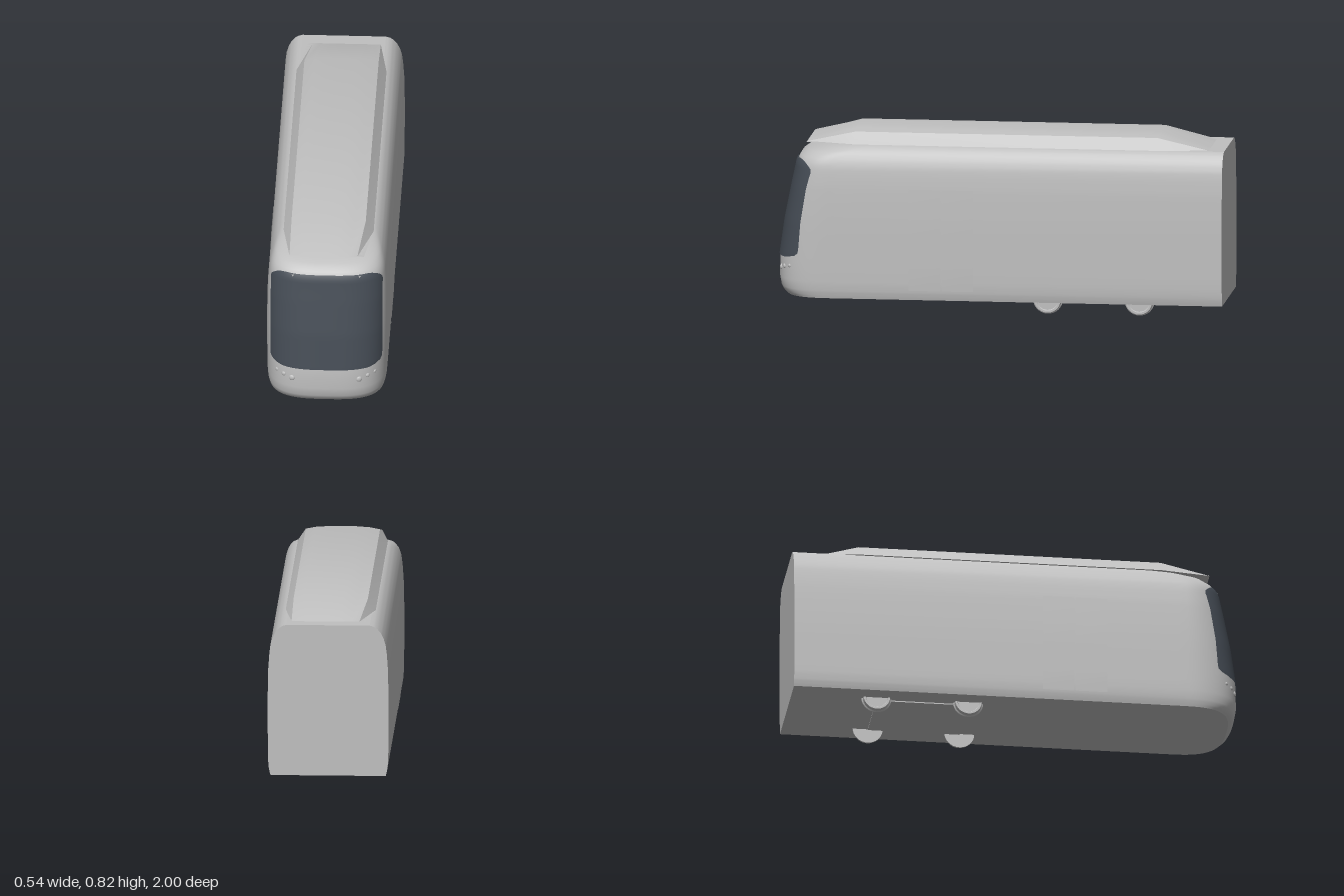
import * as THREE from 'three';
import { toCreasedNormals } from 'three/addons/utils/BufferGeometryUtils.js';

// Body profile by height: [y, half width, z of the nose]
const PROFILE = [
  [0.065, 0.256, 0.965], [0.08, 0.26, 0.982], [0.1, 0.264, 0.993], [0.14, 0.267, 1.0],
  [0.24, 0.268, 0.998], [0.4, 0.269, 0.975], [0.55, 0.266, 0.945], [0.62, 0.261, 0.93],
  [0.66, 0.256, 0.922], [0.69, 0.247, 0.905], [0.715, 0.235, 0.87], [0.735, 0.218, 0.8],
  [0.745, 0.203, 0.75], [0.75, 0.185, 0.7],
];
const NX = 3, NZ = 3.25; // exponents of the rounded nose plan

function levelAt(y) {
  let i = 0;
  while (i < PROFILE.length - 2 && y > PROFILE[i + 1][0]) i++;
  const a = PROFILE[i], b = PROFILE[i + 1], t = (y - a[0]) / (b[0] - a[0]);
  const w = THREE.MathUtils.lerp(a[1], b[1], t), f = THREE.MathUtils.lerp(a[2], b[2], t);
  return { w, f, z0: Math.min(0.72, f - 0.2) };
}

function noseZ(x, y) {
  const { w, f, z0 } = levelAt(y);
  return z0 + (f - z0) * Math.pow(Math.max(0, 1 - Math.pow(Math.abs(x) / w, NX)), 1 / NZ);
}

function noseNormal(x, y) {
  const e = 0.002;
  return new THREE.Vector3(
    -(noseZ(x + e, y) - noseZ(x - e, y)) / (2 * e),
    -(noseZ(x, y + e) - noseZ(x, y - e)) / (2 * e), 1).normalize();
}

function nosePoint(x, y, offset) {
  return new THREE.Vector3(x, y, noseZ(x, y)).addScaledVector(noseNormal(x, y), offset);
}

// Surface through rows of points; faces look along row direction x column direction
function loft(rows) {
  const n = rows[0].length, index = [];
  for (let r = 0; r < rows.length - 1; r++) {
    for (let c = 0; c < n - 1; c++) {
      const a = r * n + c;
      index.push(a, a + n, a + 1, a + 1, a + n, a + n + 1);
    }
  }
  const g = new THREE.BufferGeometry().setFromPoints(rows.flat());
  g.setIndex(index);
  g.computeVertexNormals();
  return g;
}

// Horizontal outline of the body at one height
function outline(y) {
  const { w, f, z0 } = levelAt(y), pts = [new THREE.Vector3(w, y, -1)];
  for (let i = 0; i <= 56; i++) {
    const a = (i / 56) * Math.PI, c = Math.cos(a), s = Math.max(0, Math.sin(a));
    pts.push(new THREE.Vector3(
      w * Math.sign(c) * Math.pow(Math.abs(c), 2 / NX), y, z0 + (f - z0) * Math.pow(s, 2 / NZ)));
  }
  pts.push(new THREE.Vector3(-w, y, -1));
  return pts;
}

// Flat horizontal face from an outline, facing up or down
function flatFace(pts, y, up) {
  const s = up ? -1 : 1;
  const g = new THREE.ShapeGeometry(new THREE.Shape(pts.map(p => new THREE.Vector2(p.x, s * p.z))));
  return g.rotateX(s * Math.PI / 2).translate(0, y, 0);
}

export function createModel() {
  const model = new THREE.Group();
  model.name = 'tram';
  const paint = new THREE.MeshStandardMaterial({ color: 0xc0c0c0, side: THREE.DoubleSide });
  paint.name = 'light grey paint';
  const glass = new THREE.MeshStandardMaterial({ color: 0x454c55, side: THREE.DoubleSide });
  glass.name = 'dark glass';

  function add(name, geometry, material = paint, parent = model) {
    const mesh = new THREE.Mesh(geometry, material);
    mesh.name = name;
    parent.add(mesh);
    return mesh;
  }

  // Body shell with roof, floor and flat rear wall
  const heights = [];
  PROFILE.forEach(([y], i) => {
    if (i) for (let k = 2; k > 0; k--) heights.push(y - (y - PROFILE[i - 1][0]) * k / 2);
  });
  heights.push(0.75);
  add('bodyShell', loft(heights.map(outline)));
  add('roof', flatFace(outline(0.75), 0.75, true));
  add('floor', flatFace(outline(0.065), 0.065, false));
  const rear = [...PROFILE.map(([y, w]) => new THREE.Vector2(w, y)),
    ...PROFILE.map(([y, w]) => new THREE.Vector2(-w, y)).reverse()];
  add('rearWall', new THREE.ShapeGeometry(new THREE.Shape(rear)).rotateY(Math.PI).translate(0, 0, -1));

  // Windshield wrapped on the nose: [y, half width]
  const glassRows = [[0.238, 0.19], [0.242, 0.215], [0.25, 0.237], [0.262, 0.244]];
  for (let i = 0; i <= 18; i++) glassRows.push([0.28 + i * 0.0194, 0.245]);
  glassRows.push([0.642, 0.242], [0.655, 0.234], [0.667, 0.218], [0.674, 0.2], [0.677, 0.18]);
  add('windshield', loft(glassRows.map(([y, w]) => {
    const row = [];
    for (let i = 0; i <= 40; i++) row.push(nosePoint(w * Math.cos(i / 40 * Math.PI), y, 0.004));
    return row;
  })), glass);

  // Roof pod with sloping ends
  const half = [[0.2, 0.75], [0.165, 0.802], [0.12, 0.811], [0.06, 0.815]];
  const section = [...half.map(([x, y]) => [-x, y]), [0, 0.815], ...half.slice().reverse()];
  const stations = [[-0.93, 0.825, 0], [-0.7, 1, 1], [0.65, 1, 1], [0.87, 0.825, 0]];
  add('roofPod', toCreasedNormals(loft(stations.map(([z, sx, sy]) =>
    section.map(([x, y]) => new THREE.Vector3(x * sx, 0.751 + (y - 0.75) * sy, z)))), 0.4));
  const podBase = [...stations.map(([z, s]) => new THREE.Vector3(0.2 * s, 0, z)),
    ...stations.map(([z, s]) => new THREE.Vector3(-0.2 * s, 0, z)).reverse()];
  add('roofPodBase', flatFace(podBase, 0.751, false));

  // Wheel turned around the x axis, with a flange on the inner side
  const wheelProfile = [[0, -0.012], [0.067, -0.012], [0.067, -0.006], [0.062, -0.002],
    [0.059, 0.014], [0.05, 0.014], [0.047, 0.009], [0, 0.009]].map(([r, h]) => new THREE.Vector2(r, h));
  const wheelGeo = toCreasedNormals(new THREE.LatheGeometry(wheelProfile, 32), 0.6).rotateZ(-Math.PI / 2);

  for (const side of [1, -1]) {
    const label = side > 0 ? 'left' : 'right';

    // Double door leaves following the side wall
    [[0.113, 0.254], [0.258, 0.4]].forEach(([z1, z2], i) => {
      const rows = [];
      for (let k = 0; k <= 8; k++) {
        const y = 0.108 + k * 0.057, x = side * (levelAt(y).w + 0.002);
        const row = [new THREE.Vector3(x, y, z1), new THREE.Vector3(x, y, z2)];
        rows.push(side > 0 ? row : row.reverse());
      }
      add(`${label}DoorLeaf${i + 1}`, loft(rows));
    });

    // Three headlights, smaller towards the outside
    [[0.15, 0.185, 0.013], [0.187, 0.195, 0.01], [0.218, 0.202, 0.008]].forEach(([x, y, r], i) => {
      const lamp = add(`${label}Headlight${i + 1}`, new THREE.SphereGeometry(r, 20, 12));
      lamp.position.copy(nosePoint(side * x, y, 0));
      lamp.scale.z = 0.5;
      lamp.quaternion.setFromUnitVectors(new THREE.Vector3(0, 0, 1), noseNormal(side * x, y));
    });

    // Small bracket at the top of the windshield
    const bracket = add(`${label}Bracket`, new THREE.CircleGeometry(0.008, 3));
    bracket.position.copy(nosePoint(side * 0.147, 0.67, 0.007));
    bracket.rotation.z = side > 0 ? 0.5 : Math.PI - 0.5;

    for (const z of [-0.21, -0.62]) {
      const wheel = add(`${label}Wheel`, wheelGeo);
      wheel.position.set(side * 0.17, 0.067, z);
      wheel.rotation.y = side > 0 ? 0 : Math.PI;
    }
  }

  // Bogie plate under the floor
  add('bogiePlate', new THREE.BoxGeometry(0.31, 0.012, 0.41).translate(0, 0.066, -0.415));
  return model;
}
